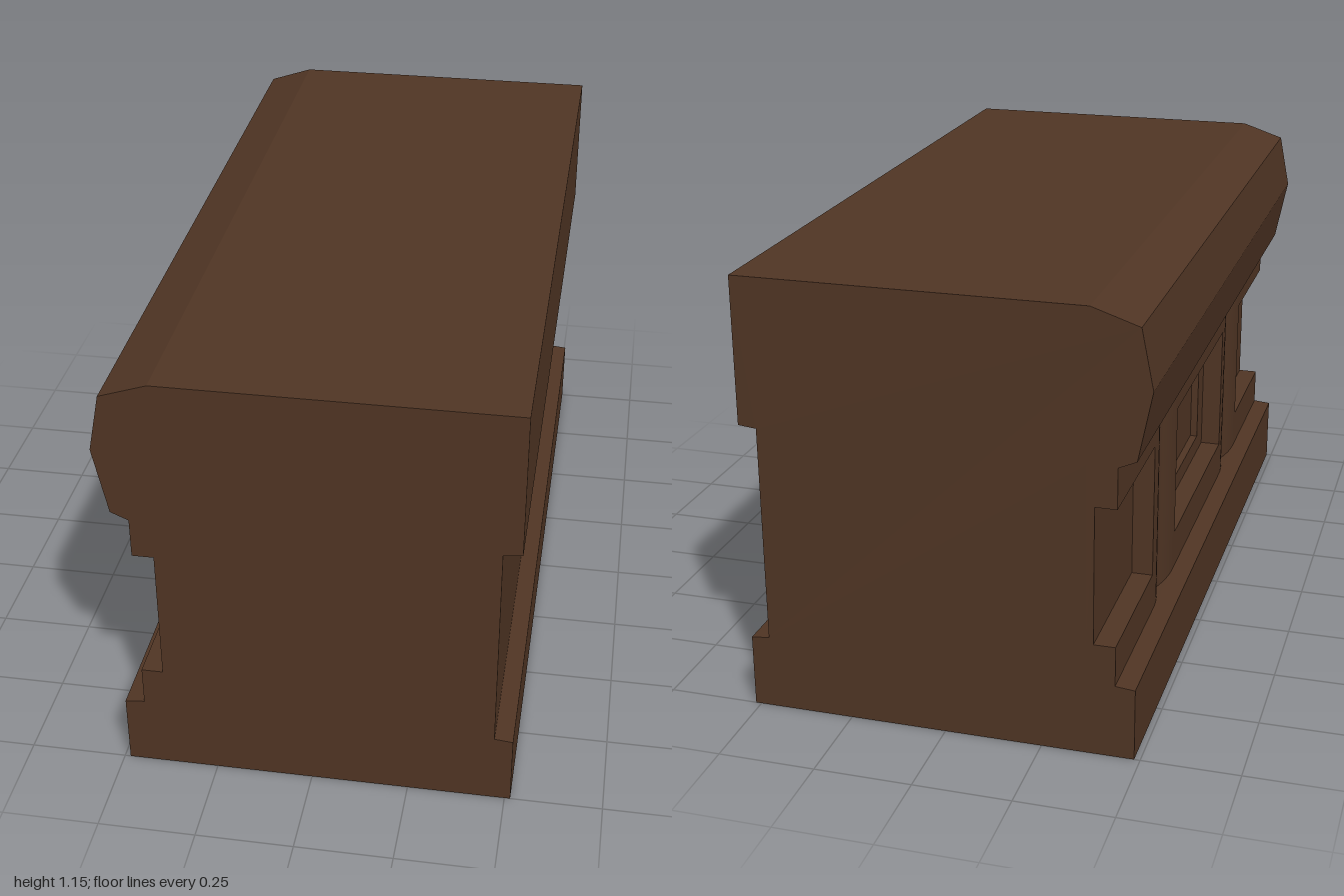
import * as THREE from 'three';
import { toCreasedNormals } from 'three/addons/utils/BufferGeometryUtils.js';

const wood = new THREE.MeshStandardMaterial({ color: 0x503524 });
wood.name = 'dark wood';

// Carved side, measured towards -x
const FACE = -0.435, PANEL = -0.38, CORE = -0.36;
const LOW = 0.195, HIGH = 0.765, PANEL_LOW = 0.3, PANEL_HIGH = 0.66;
const POST_IN = 0.325, POST_OUT = 0.6, GROOVE = 0.4625;

const toShape = (pts) => new THREE.Shape(pts.map(([x, y]) => new THREE.Vector2(x, y)));
const rect = (x0, y0, x1, y1) => [[x0, y0], [x1, y0], [x1, y1], [x0, y1]];
const extrude = (shape, depth) =>
  new THREE.ExtrudeGeometry(shape, { depth, bevelEnabled: false });

// Points of one shallow groove: two rounded shoulders meeting in a crease
function groove(centre) {
  const w = 0.12, d = 0.02, n = 6, pts = [];
  for (let i = -n; i <= n; i++) {
    const s = Math.abs(i) / n;
    pts.push([FACE + d * (1 - s) ** 2, centre + (w * i) / n]);
  }
  return pts;
}

// Upright slab with a plan outline drawn in x and z
function slab(z0, z1, grooves, y0, y1) {
  const pts = [[CORE, z0], [FACE, z0], ...grooves.flatMap(groove), [FACE, z1], [CORE, z1]];
  const g = extrude(toShape(pts), y1 - y0);
  g.rotateX(-Math.PI / 2).translate(0, y0, 0);
  return toCreasedNormals(g, 0.6);
}

export function createModel() {
  const model = new THREE.Group();
  model.name = 'panelledCounter';
  const add = (geometry, name) => {
    const mesh = new THREE.Mesh(geometry, wood);
    mesh.name = name;
    model.add(mesh);
    return mesh;
  };

  // Core with plinth, overhanging top and plain rear side
  const profile = [
    [-0.485, 0], [0.515, 0], [0.515, 0.19], [0.468, LOW], [0.468, HIGH], [0.515, 0.77],
    [0.515, 1.15], [-0.365, 1.15], [-0.485, 1.11], [-0.515, 0.96], [-0.48, 0.785],
    [FACE, HIGH], [CORE, HIGH], [CORE, LOW], [FACE, LOW], [-0.485, 0.19],
  ];
  add(extrude(toShape(profile), 2).translate(0, 0, -1), 'counterBody');

  // Panel sheet with a sunken field in the middle panel
  const sheet = toShape(rect(-1, PANEL_LOW, 1, PANEL_HIGH));
  sheet.holes.push(new THREE.Path(
    rect(-0.25, 0.35, 0.25, 0.61).reverse().map(([x, y]) => new THREE.Vector2(x, y))));
  add(extrude(sheet, CORE - PANEL).rotateY(-Math.PI / 2).translate(CORE, 0, 0), 'panelSheet');

  // Rails above and below the panels
  add(slab(-1, 1, [-GROOVE, GROOVE], LOW, PANEL_LOW), 'lowerRail');
  add(slab(-1, 1, [-GROOVE, GROOVE], PANEL_HIGH, HIGH), 'upperRail');

  // Grooved posts between the panels
  add(slab(POST_IN, POST_OUT, [GROOVE], PANEL_LOW, PANEL_HIGH), 'frontPost');
  add(slab(-POST_OUT, -POST_IN, [-GROOVE], PANEL_LOW, PANEL_HIGH), 'backPost');

  return model;
}
